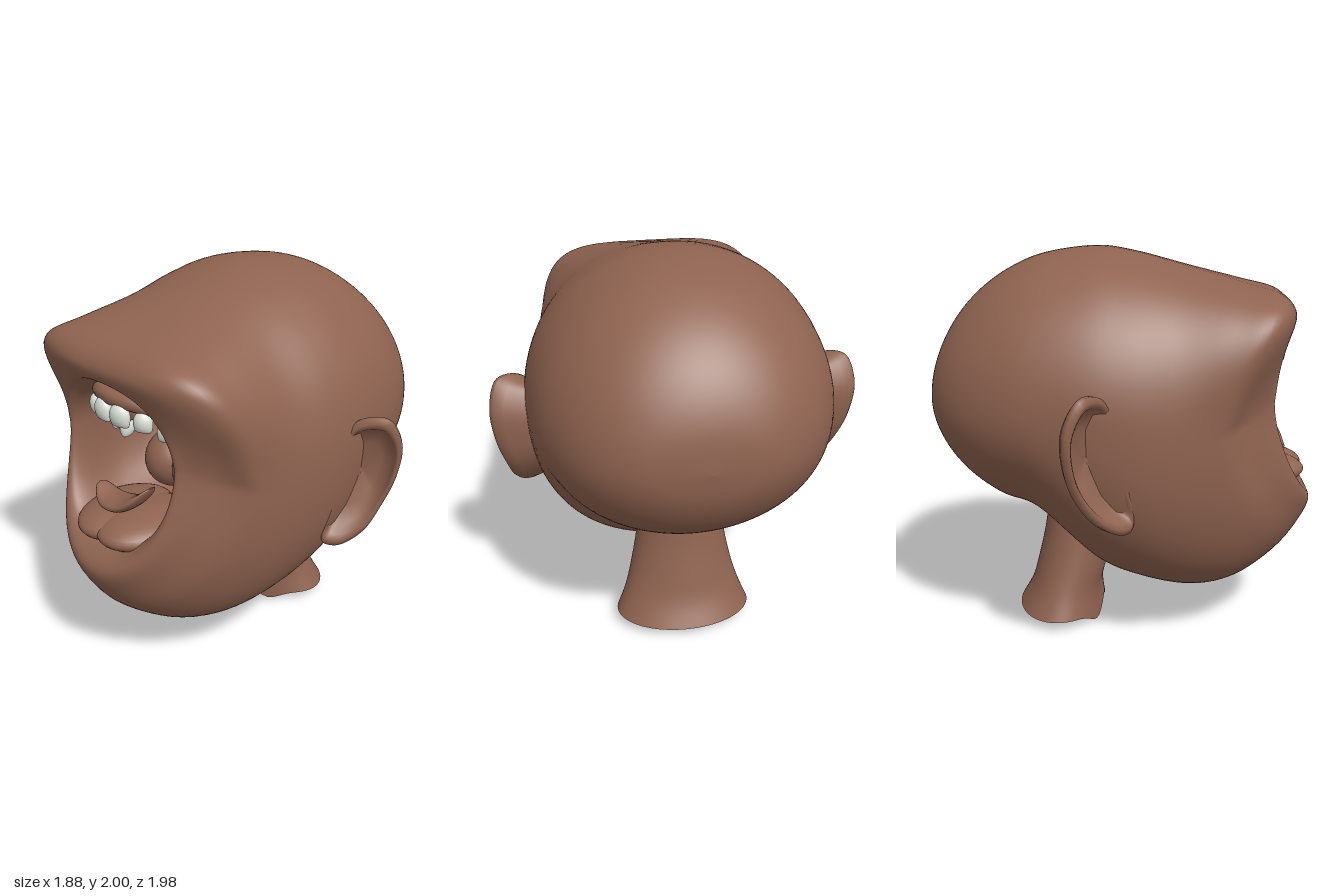
import * as THREE from 'three';

const skin = new THREE.MeshStandardMaterial({ color: 0x8f6350, side: THREE.DoubleSide });
skin.name = 'brown skin';
const enamel = new THREE.MeshStandardMaterial({ color: 0xdde3da });
enamel.name = 'tooth enamel';

// Joins closed rings of [x, y, z] points into one smooth surface.
function loft(rows) {
  const n = rows[0].length, index = [];
  for (let i = 0; i < rows.length - 1; i++) {
    for (let j = 0; j < n; j++) {
      const a = i * n + j, b = i * n + (j + 1) % n, c = a + n, d = b + n;
      index.push(a, c, b, b, c, d);
    }
  }
  const geo = new THREE.BufferGeometry();
  geo.setAttribute('position', new THREE.Float32BufferAttribute(rows.flat(2), 3));
  geo.setIndex(index);
  geo.computeVertexNormals();
  return geo;
}

// Catmull-Rom subdivision of a list of number rows.
function smoothRows(keys, steps) {
  const out = [], at = i => keys[Math.min(Math.max(i, 0), keys.length - 1)];
  for (let i = 0; i < keys.length - 1; i++) {
    for (let s = 0; s < steps; s++) {
      const t = s / steps;
      out.push(keys[i].map((p1, k) => {
        const p0 = at(i - 1)[k], p2 = at(i + 1)[k], p3 = at(i + 2)[k];
        return p1 + 0.5 * t * (p2 - p0 + t * (2 * p0 - 5 * p1 + 4 * p2 - p3 + t * (3 * (p1 - p2) + p3 - p0)));
      }));
    }
  }
  out.push(keys[keys.length - 1]);
  return out;
}

function part(parent, name, geo, mat = skin) {
  const mesh = new THREE.Mesh(geo, mat);
  mesh.name = name;
  parent.add(mesh);
  return mesh;
}

function ellipsoid(parent, name, pos, size) {
  const mesh = part(parent, name, new THREE.SphereGeometry(1, 32, 20));
  mesh.position.set(...pos);
  mesh.scale.set(...size);
}

// One head ring: top y, top z, half width, side y, side z, bottom y, bottom z, top and bottom roundness.
function headRing([ty, tz, sx, sy, sz, by, bz, et, eb]) {
  const ring = [], n = 96;
  for (let j = 0; j < n; j++) {
    const a = j / n * Math.PI * 2, c = Math.cos(a), s = Math.sin(a), up = c >= 0, e = up ? et : eb;
    const v = Math.pow(Math.abs(c), e), w = Math.pow(v, up ? 1.25 : 1.6);
    ring.push([
      Math.sign(s) * Math.pow(Math.abs(s), e) * sx,
      sy + ((up ? ty : by) - sy) * v,
      sz + ((up ? tz : bz) - sz) * w,
    ]);
  }
  return ring;
}

function headGeometry() {
  // Crown, jaw, brow and lips, from back to front
  const face = [
    [2.00, -0.15, 0.765, 1.25, -0.15, 0.38, -0.12, 1, 0.88],
    [1.975, 0.05, 0.755, 1.20, 0.08, 0.28, 0.10, 0.95, 0.86],
    [1.91, 0.30, 0.70, 1.17, 0.30, 0.22, 0.38, 0.85, 0.88],
    [1.83, 0.60, 0.655, 1.18, 0.44, 0.27, 0.62, 0.62, 0.92],
    [1.775, 0.79, 0.615, 1.20, 0.52, 0.42, 0.83, 0.46, 1],
    [1.70, 0.86, 0.52, 1.22, 0.60, 0.58, 0.95, 0.52, 1],
    [1.63, 0.85, 0.42, 1.25, 0.71, 0.70, 0.99, 0.85, 0.9],
    [1.615, 0.80, 0.365, 1.27, 0.755, 0.78, 0.93, 1, 0.82],
  ];
  // Rounded back of the skull
  const skull = [];
  for (let i = 0; i <= 5; i++) {
    const a = i * 0.25, f = Math.sin(a), z = -0.15 - 0.835 * Math.cos(a);
    skull.push([1.25 + 0.75 * f, z, 0.765 * Math.pow(f, 0.75), 1.25, z, 1.25 - 0.65 * f, z, 1, 1]);
  }
  // Mouth cavity: the lip ring shrunk and moved back
  const [ty, tz, sx, sy, sz, by, bz] = face[face.length - 1];
  const cavity = [[0.93, 0.07], [0.92, 0.33], [0.7, 0.58], [0, 0.72]].map(([k, d]) => [
    1.18 + (ty - 1.18) * k, tz - d, sx * k, 1.18 + (sy - 1.18) * k, sz - d,
    1.18 + (by - 1.18) * k, sz - d + (bz - sz) * k * k, 1, 0.85,
  ]);
  return loft(smoothRows([...skull, ...face, ...cavity], 6).map(headRing));
}

// Cupped ear: bowl, rolled rim and a back that runs into the head; side is 1 or -1.
function earGeometry(side) {
  const outline = [
    [0.74, 1.32, -0.03], [0.80, 1.375, -0.07], [0.89, 1.375, -0.13], [0.93, 1.25, -0.19],
    [0.915, 1.08, -0.19], [0.875, 0.93, -0.15], [0.835, 0.80, -0.06], [0.76, 0.735, 0.04],
    [0.70, 0.75, 0.08], [0.72, 0.90, 0.06], [0.735, 1.15, 0.01],
  ];
  const curve = new THREE.CatmullRomCurve3(outline.map(p => new THREE.Vector3(...p)), true);
  const rim = curve.getPoints(64).slice(0, 64);
  const mid = new THREE.Vector3(0.81, 1.08, -0.07);
  // Each row: scale about the centre, then an offset along x and z
  const rows = [[0, -0.045, -0.055], [0.5, -0.04, -0.05], [0.76, -0.02, -0.03], [0.86, 0.005, 0.01],
    [0.95, 0.01, 0.02], [1.03, 0.005, 0.006], [1.03, -0.01, -0.015], [0.93, -0.05, -0.04], [0.75, -0.17, -0.05]];
  return loft(rows.map(([k, dx, dz]) => {
    const ring = rim.map(p => {
      const q = p.clone().sub(mid).multiplyScalar(k).add(mid);
      return [side * (q.x + dx), q.y, q.z + dz];
    });
    return side > 0 ? ring.reverse() : ring;
  }));
}

// Open neck tube; each key is y, half width, front z, back z.
function neckGeometry() {
  const keys = [[0.72, 0.21, -0.10, -0.40], [0.5, 0.235, -0.08, -0.43], [0.32, 0.27, -0.09, -0.47],
    [0.18, 0.31, -0.12, -0.51], [0.06, 0.36, -0.11, -0.575]];
  const rows = smoothRows(keys, 4), n = 64;
  return loft(rows.map(([y, rx, zf, zb], i) => {
    const ring = [], fade = Math.pow(i / (rows.length - 1), 4);
    for (let j = 0; j < n; j++) {
      const a = j / n * Math.PI * 2, b = Math.abs(a > Math.PI ? a - Math.PI * 2 : a);
      // Scalloped lower edge
      const wave = 0.04 * Math.exp(-((b / 0.2) ** 2)) - 0.057 * Math.exp(-(((b - 0.48) / 0.3) ** 2));
      ring.push([rx * Math.sin(a), y + wave * fade, (zf + zb) / 2 + (zf - zb) / 2 * Math.cos(a)]);
    }
    return ring;
  }));
}

// Curled leaf-shaped tongue tip.
function tongueTipGeometry() {
  const path = new THREE.CatmullRomCurve3([[-0.17, 1.03, 0.76], [-0.08, 0.975, 0.77], [0.03, 0.98, 0.76],
    [0.11, 1.03, 0.75], [0.17, 1.10, 0.72]].map(p => new THREE.Vector3(...p)));
  const rows = [];
  for (let i = 0; i <= 24; i++) {
    const p = path.getPoint(i / 24), k = Math.sqrt(Math.sin(Math.PI * i / 24) + 1e-9), ring = [];
    for (let j = 0; j < 20; j++) {
      const a = -j / 20 * Math.PI * 2;
      ring.push([p.x, p.y + 0.035 * k * Math.cos(a), p.z + 0.09 * k * Math.sin(a)]);
    }
    rows.push(ring);
  }
  return loft(rows);
}

// Point on the dental arch; it drops as it runs back.
const archPoint = a => new THREE.Vector3(
  0.3 * Math.sin(a), 1.465 - 0.3 * Math.pow(1 - Math.cos(a), 1.5), 0.45 + 0.35 * Math.cos(a));

// Rounded tooth, narrow at the root, with a flattened biting edge.
function toothGeometry() {
  const geo = new THREE.SphereGeometry(1, 24, 16), pos = geo.attributes.position;
  for (let k = 0; k < pos.count; k++) {
    const v = pos.getY(k);
    if (v < 0) {
      const f = Math.max(0.25, Math.sqrt(1 - v * v));
      pos.setX(k, pos.getX(k) / Math.pow(f, 0.7));
      pos.setY(k, Math.max(v, -0.9));
    }
  }
  geo.computeVertexNormals();
  return geo;
}

export function createModel() {
  const model = new THREE.Group();
  model.name = 'open-mouthed head';
  part(model, 'head', headGeometry());
  part(model, 'neck', neckGeometry());
  part(model, 'leftEar', earGeometry(1));
  part(model, 'rightEar', earGeometry(-1));

  // Tongue and soft palate
  const mouth = new THREE.Group();
  mouth.name = 'mouth';
  model.add(mouth);
  for (const s of [-1, 1]) {
    ellipsoid(mouth, 'tongueRoll', [s * 0.07, 0.86, 0.68], [0.2, 0.085, 0.27]);
    ellipsoid(mouth, 'throatLobe', [s * 0.1, 1.02, 0.3], [0.15, 0.16, 0.18]);
  }
  part(mouth, 'tongueTip', tongueTipGeometry());
  ellipsoid(mouth, 'palate', [0, 1.40, 0.3], [0.22, 0.17, 0.22]);

  // Upper teeth
  const toothGeo = toothGeometry();
  for (const s of [-1, 1]) {
    [0.19, 0.56, 0.89, 1.15, 1.37, 1.55].forEach((a, i) => {
      const tooth = part(mouth, 'tooth', toothGeo, enamel);
      tooth.position.copy(archPoint(s * a));
      tooth.scale.set(i ? 0.046 : 0.055, i ? 0.053 : 0.058, 0.036);
      tooth.rotation.y = s * a * 0.85;
    });
  }

  // Gum arch above the teeth
  const arch = [];
  for (let i = -6; i <= 6; i++) arch.push(archPoint(i * 0.26).add(new THREE.Vector3(0, 0.065, -0.025)));
  part(mouth, 'gum', new THREE.TubeGeometry(new THREE.CatmullRomCurve3(arch), 60, 0.04, 10));
  return model;
}
